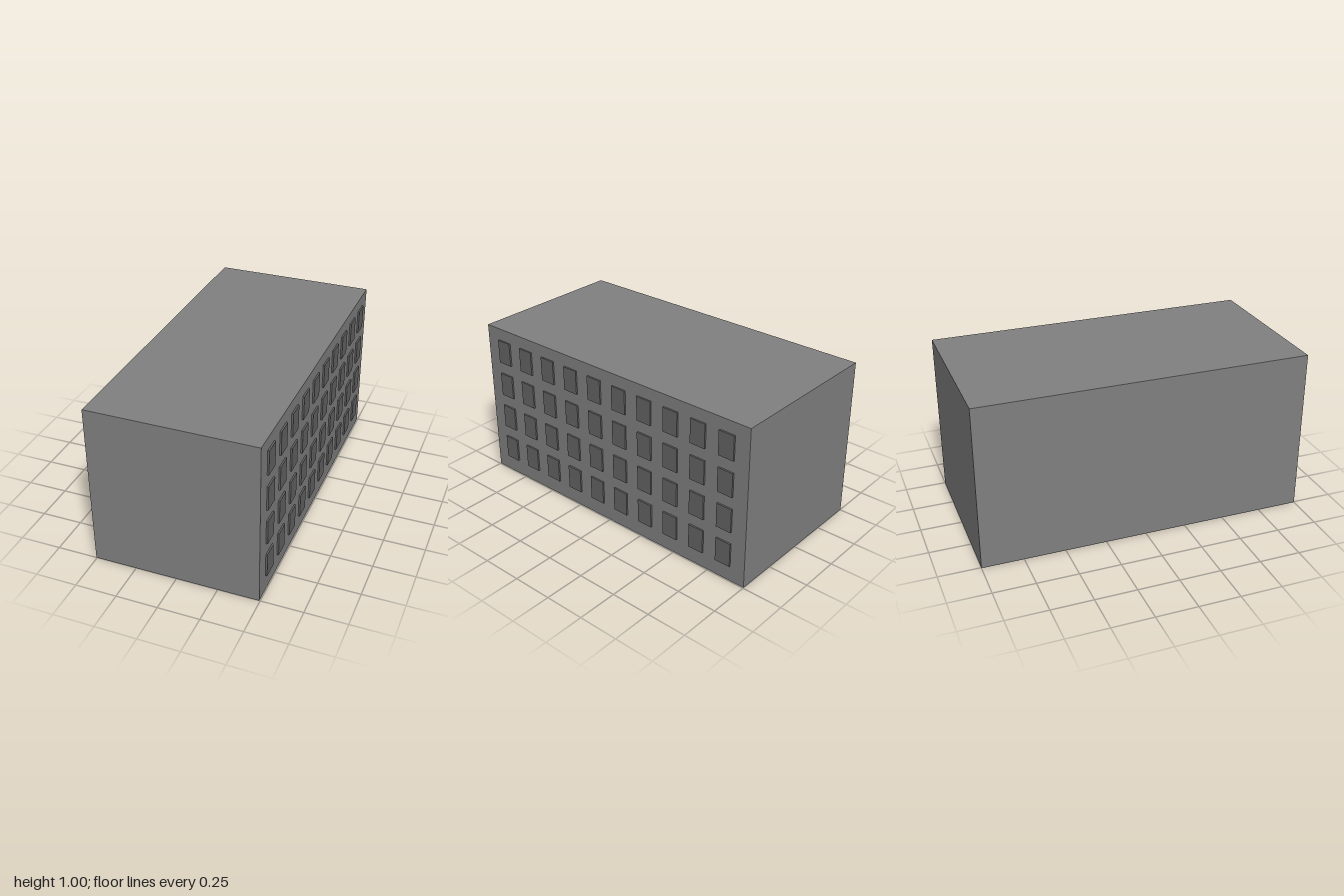
import * as THREE from 'three';

export function createModel() {
  const model = new THREE.Group();
  model.name = 'building';

  const wallMaterial = new THREE.MeshStandardMaterial({ color: 0x808080 });
  const windowMaterial = new THREE.MeshStandardMaterial({ color: 0x646464 });

  // Main block, shifted so the window relief keeps the whole centred
  const body = new THREE.Mesh(new THREE.BoxGeometry(1, 1, 2), wallMaterial);
  body.name = 'buildingBody';
  body.position.set(-0.005, 0.5, 0);
  model.add(body);

  // Grid of raised windows on the +x facade
  const windows = new THREE.Group();
  windows.name = 'windows';
  const windowGeometry = new THREE.BoxGeometry(0.02, 0.15, 0.1);
  const rows = 4, columns = 10;
  for (let row = 0; row < rows; row++) {
    for (let column = 0; column < columns; column++) {
      const pane = new THREE.Mesh(windowGeometry, windowMaterial);
      pane.name = `windowRow${row + 1}Column${column + 1}`;
      pane.position.set(0.495, 0.175 + row * 0.225, (column - (columns - 1) / 2) * 0.19);
      windows.add(pane);
    }
  }
  model.add(windows);

  return model;
}
